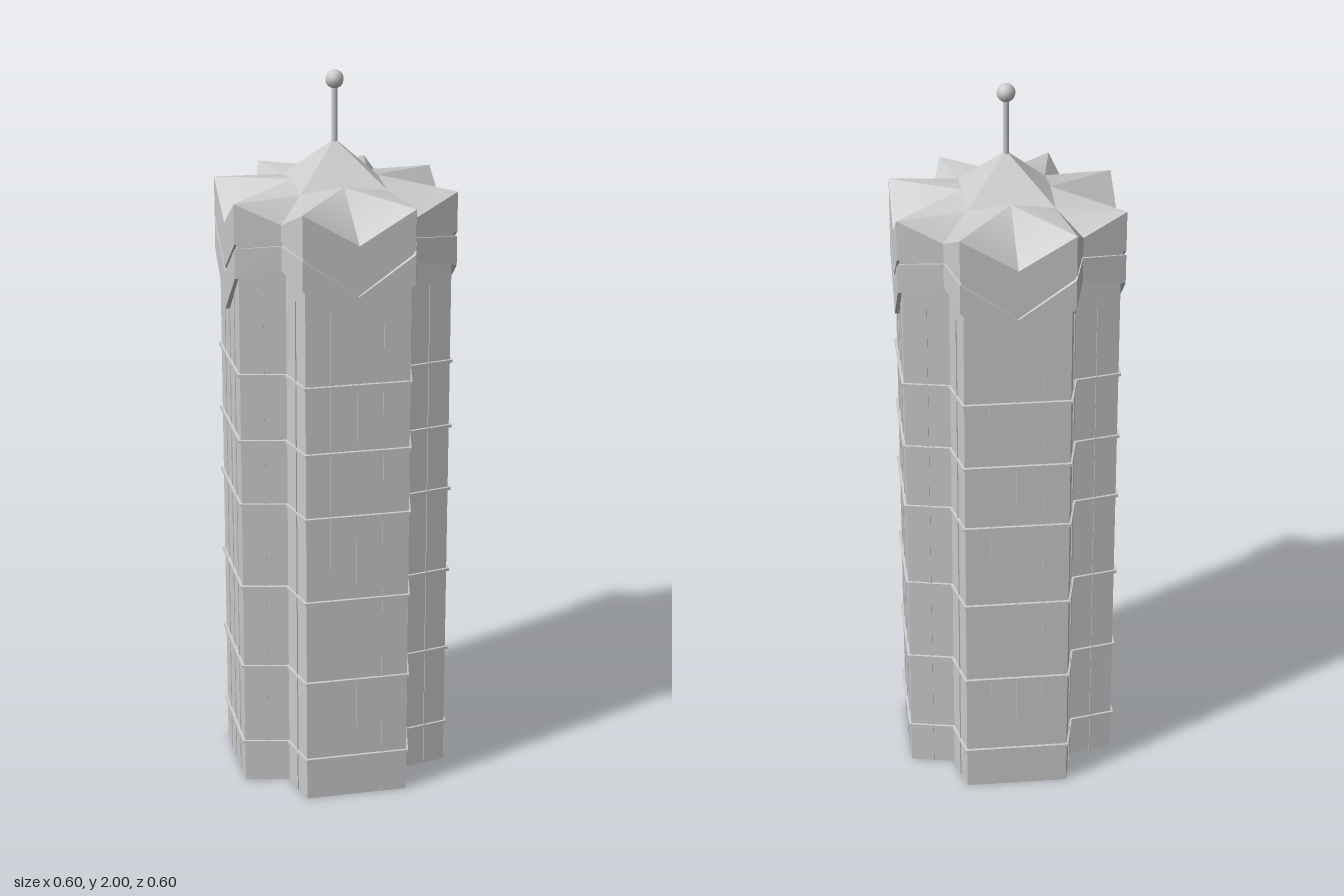
import * as THREE from 'three';
import { toCreasedNormals } from 'three/addons/utils/BufferGeometryUtils.js';

const material = new THREE.MeshStandardMaterial({ color: 0xcccccc, side: THREE.DoubleSide });

// Cross-shaped plan of 16 points, counterclockwise from above, starting mid-front.
// Each quarter runs: middle of face, wing corner, notch, wing corner.
function plan(half, corner, notch) {
  const quarter = [[0, half], [corner, half], [notch, notch], [half, corner]];
  const points = [];
  for (let k = 0; k < 4; k++) {
    for (const [x, z] of quarter) {
      points.push([[x, z], [z, -x], [-x, -z], [-z, x]][k]);
    }
  }
  return points;
}

// A plan lifted to heights given for face middles, corners and notches.
function row(points, mid, corner = mid, notch = mid) {
  const heights = [mid, corner, notch, corner];
  return points.map(([x, z], i) => new THREE.Vector3(x, heights[i % 4], z));
}

function makeMesh(name, triangles, crease) {
  const geometry = new THREE.BufferGeometry().setFromPoints(triangles);
  const mesh = new THREE.Mesh(toCreasedNormals(geometry, crease), material);
  mesh.name = name;
  return mesh;
}

// Quads between successive rows, listed from bottom to top along the outside.
function loft(rows) {
  const out = [];
  for (let r = 0; r < rows.length - 1; r++) {
    const a = rows[r], b = rows[r + 1];
    for (let i = 0; i < a.length; i++) {
      const j = (i + 1) % a.length;
      out.push(a[i], a[j], b[j], a[i], b[j], b[i]);
    }
  }
  return out;
}

export function createModel() {
  const model = new THREE.Group();
  const shaftPlan = plan(0.29, 0.142, 0.168);
  const ringPlan = plan(0.297, 0.146, 0.173);
  const crownPlan = plan(0.302, 0.151, 0.183);
  const seamPlan = plan(0.294, 0.147, 0.177);

  // Shaft with a flat base
  const base = row(shaftPlan, 0);
  const shaft = loft([base, row(shaftPlan, 1.47, 1.55, 1.56)]);
  const centre = new THREE.Vector3();
  base.forEach((p, i) => shaft.push(centre, base[(i + 1) % 16], p));
  model.add(makeMesh('shaft', shaft, 0.9));

  // Thin floor rings
  for (const y of [0.12, 0.355, 0.597, 0.842, 1.027, 1.215]) {
    model.add(makeMesh('floorRing', loft([
      row(shaftPlan, y - 0.005), row(ringPlan, y - 0.004),
      row(ringPlan, y + 0.004), row(shaftPlan, y + 0.005),
    ]), 0.5));
  }

  // Slender vertical ribs on the wing faces and flanks
  const ribGeometry = new THREE.BoxGeometry(0.005, 1.44, 0.006);
  const flankAngle = Math.atan2(0.29 - 0.168, 0.168 - 0.142);
  for (let k = 0; k < 4; k++) {
    const side = new THREE.Group();
    side.name = 'wingRibs';
    side.rotation.y = k * Math.PI / 2;
    const addRib = (x, z, turn) => {
      const rib = new THREE.Mesh(ribGeometry, material);
      rib.name = 'rib';
      rib.position.set(x, 0.72, z);
      rib.rotation.y = turn;
      side.add(rib);
    };
    for (const x of [-0.072, 0, 0.072]) addRib(x, 0.289, 0);
    for (const s of [-1, 1]) addRib(s * 0.155, 0.229, s * flankAngle);
    model.add(side);
  }

  // Crown: two chevron bands separated by a narrow recessed seam
  model.add(makeMesh('lowerCrownBand', loft([
    row(shaftPlan, 1.36, 1.487, 1.512), row(crownPlan, 1.36, 1.487, 1.512),
    row(crownPlan, 1.463, 1.568, 1.578), row(seamPlan, 1.463, 1.568, 1.578),
  ]), 0.5));
  model.add(makeMesh('crownSeam', loft([
    row(seamPlan, 1.46, 1.565, 1.575), row(seamPlan, 1.48, 1.585, 1.593),
  ]), 0.5));
  const eave = row(crownPlan, 1.6, 1.69, 1.635);
  model.add(makeMesh('upperCrownBand', loft([
    row(seamPlan, 1.475, 1.58, 1.59), row(crownPlan, 1.475, 1.58, 1.59), eave,
  ]), 0.5));

  // Folded roof rising from the eaves through an inner square to the apex
  const roof = [];
  const apex = new THREE.Vector3(0, 1.815, 0);
  const inner = [];
  for (let k = 0; k < 8; k++) {
    const a = k * Math.PI / 4, r = k % 2 ? 0.118 * Math.SQRT2 : 0.118;
    inner.push(new THREE.Vector3(r * Math.sin(a), k % 2 ? 1.695 : 1.71, r * Math.cos(a)));
  }
  for (let k = 0; k < 4; k++) {
    const o = [0, 1, 2, 3, 4].map((i) => eave[(4 * k + i) % 16]);
    const [m, d, n] = [0, 1, 2].map((i) => inner[(2 * k + i) % 8]);
    roof.push(o[0], o[1], m, m, o[1], d, o[1], o[2], d, o[2], o[3], d,
      d, o[3], n, o[3], o[4], n, m, d, apex, d, n, apex);
  }
  model.add(makeMesh('roof', roof, 0.65));

  // Antenna with a ball on top
  const mast = new THREE.Mesh(new THREE.CylinderGeometry(0.008, 0.008, 0.19, 10), material);
  mast.name = 'antennaMast';
  mast.position.y = 1.875;
  const ball = new THREE.Mesh(new THREE.SphereGeometry(0.025, 12, 8), material);
  ball.name = 'antennaBall';
  ball.position.y = 1.975;
  model.add(mast, ball);

  return model;
}
